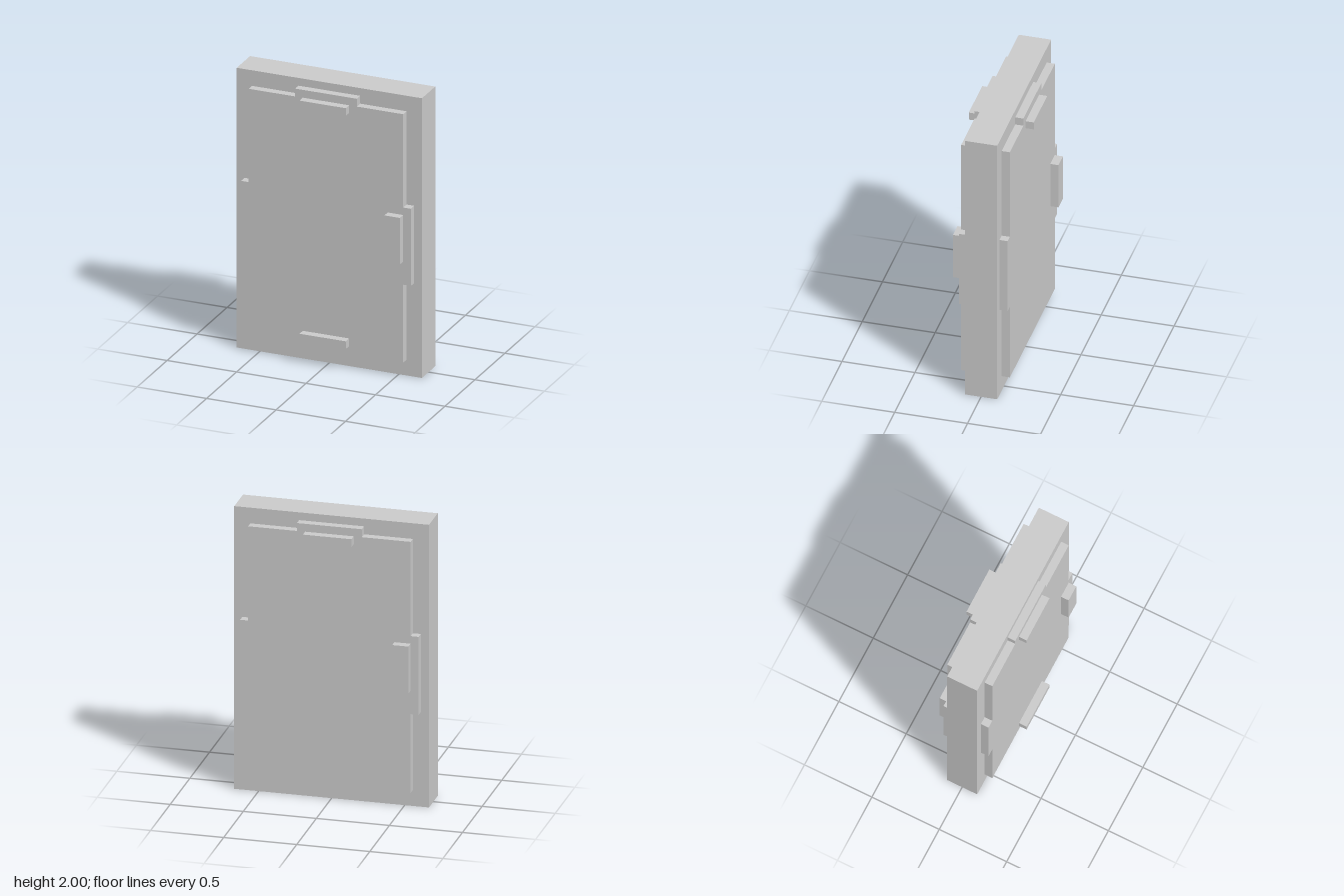
import * as THREE from 'three';

const material = new THREE.MeshStandardMaterial({ color: 0xcccccc, flatShading: true });

const FRAME_Z = 0.111; // half depth of the frame
const STEP = 0.056;    // thickness of the panel and of each handle

function box(name, w, h, d, x, y, z) {
  const mesh = new THREE.Mesh(new THREE.BoxGeometry(w, h, d), material);
  mesh.name = name;
  mesh.position.set(x, y, z);
  return mesh;
}

// Panel outline: a rectangle with a tab on each side and one on top
function panelShape() {
  const half = [
    [0.556, 0.113], [0.556, 0.67], [0.611, 0.67], [0.611, 1.222],
    [0.556, 1.222], [0.556, 1.889], [0.222, 1.889], [0.222, 1.945],
  ];
  const mirrored = half.map(([x, y]) => [-x, y]).reverse();
  return new THREE.Shape([...half, ...mirrored].map(([x, y]) => new THREE.Vector2(x, y)));
}

// One face of the door, built facing +z
function doorFace(name, hasBottomBar) {
  const face = new THREE.Group();
  face.name = name;

  const panel = new THREE.Mesh(
    new THREE.ExtrudeGeometry(panelShape(), { depth: STEP, bevelEnabled: false }), material);
  panel.name = 'raisedPanel';
  panel.position.z = FRAME_Z;
  face.add(panel);

  const z = FRAME_Z + STEP * 1.5;
  face.add(box('sideHandle', 0.111, 0.333, STEP, 0.5, 1.002, z));
  face.add(box('topBar', 0.333, 0.055, STEP, 0, 1.862, z));
  if (hasBottomBar) face.add(box('bottomBar', 0.333, 0.055, STEP, 0, 0.195, z));
  return face;
}

export function createModel() {
  const door = new THREE.Group();
  door.name = 'door';
  door.add(box('frameSlab', 1.333, 2, FRAME_Z * 2, 0, 1, 0));

  // The back is the front turned half round, without the bottom bar
  const back = doorFace('backFace', false);
  back.rotation.y = Math.PI;
  door.add(doorFace('frontFace', true), back);
  return door;
}
